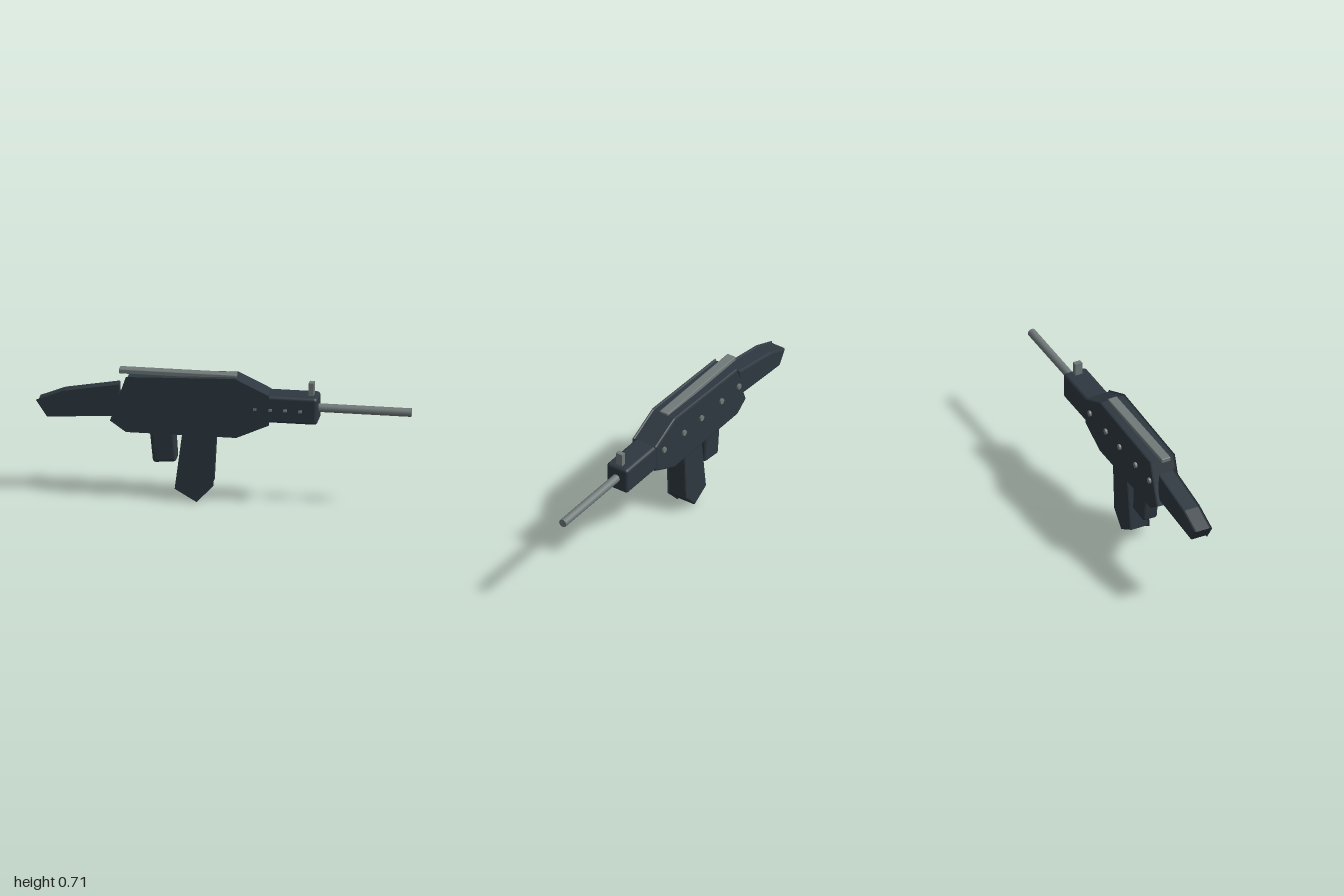
import * as THREE from 'three';
import { RoundedBoxGeometry } from 'three/addons/geometries/RoundedBoxGeometry.js';

const dark = new THREE.MeshStandardMaterial({ color: 0x2e3840 });
dark.name = 'dark slate';
const grey = new THREE.MeshStandardMaterial({ color: 0x707a79 });
grey.name = 'steel grey';

// Shrinks a clockwise convex outline by a distance, with mitred corners
function inset(points, d) {
  const n = points.length;
  return points.map((p, i) => {
    const a = points[(i + n - 1) % n], b = points[(i + 1) % n];
    const l1 = Math.hypot(p[0] - a[0], p[1] - a[1]);
    const l2 = Math.hypot(b[0] - p[0], b[1] - p[1]);
    const n1 = [(p[1] - a[1]) / l1, -(p[0] - a[0]) / l1];
    const n2 = [(b[1] - p[1]) / l2, -(b[0] - p[0]) / l2];
    const k = d / (1 + n1[0] * n2[0] + n1[1] * n2[1]);
    return [p[0] + (n1[0] + n2[0]) * k, p[1] + (n1[1] + n2[1]) * k];
  });
}

// Slab from a clockwise outline: flared lip at the front, rounded edge at the back
function slab(points, zBack, zFront) {
  const layers = [
    [zFront, 0], [zFront - 0.003, 0.005], [zFront - 0.009, 0.008],
    [zBack + 0.01, 0.008], [zBack + 0.003, 0.011], [zBack, 0.018],
  ];
  const rings = layers.map(([z, d]) => inset(points, d).map(([x, y]) => [x, y, z]));
  const pos = [];
  const n = points.length;
  const tri = (a, b, c) => pos.push(...a, ...b, ...c);
  for (let r = 0; r < rings.length - 1; r++) {
    for (let i = 0; i < n; i++) {
      const j = (i + 1) % n;
      tri(rings[r][i], rings[r][j], rings[r + 1][j]);
      tri(rings[r][i], rings[r + 1][j], rings[r + 1][i]);
    }
  }
  const front = rings[0], back = rings[rings.length - 1];
  for (let i = 1; i < n - 1; i++) {
    tri(front[0], front[i + 1], front[i]);
    tri(back[0], back[i], back[i + 1]);
  }
  const g = new THREE.BufferGeometry();
  g.setAttribute('position', new THREE.Float32BufferAttribute(pos, 3));
  g.computeVertexNormals();
  return g;
}

export function createModel() {
  const model = new THREE.Group();
  const add = (name, geometry, material, x = 0, y = 0, z = 0) => {
    const mesh = new THREE.Mesh(geometry, material);
    mesh.name = name;
    mesh.position.set(x, y, z);
    model.add(mesh);
    return mesh;
  };

  // Main slabs
  add('body', slab([
    [-0.515, 0.69], [0.068, 0.712], [0.25, 0.625], [0.25, 0.46],
    [0.075, 0.38], [-0.515, 0.38], [-0.6, 0.44], [-0.557, 0.56],
  ], -0.07, 0.077), dark);
  add('stock', slab([
    [-1, 0.525], [-0.855, 0.583], [-0.555, 0.636], [-0.545, 0.46], [-0.94, 0.433],
  ], -0.046, 0.05), dark);
  add('magazine', slab([
    [-0.212, 0.42], [-0.033, 0.42], [-0.05, 0.095], [-0.14, 0], [-0.257, 0.068],
  ], -0.053, 0.06), dark);

  // Grip: rounded block that narrows and leans towards its foot
  const gripShape = new RoundedBoxGeometry(0.135, 0.22, 0.09, 3, 0.018);
  const p = gripShape.attributes.position;
  for (let i = 0; i < p.count; i++) {
    const t = 0.5 - p.getY(i) / 0.22;
    p.setX(i, p.getX(i) * (1 - 0.06 * t) + 0.018 * t);
    p.setY(i, p.getY(i) + 0.09 * p.getX(i) * t);
  }
  gripShape.computeVertexNormals();
  add('grip', gripShape, dark, -0.331, 0.317, 0.003);

  // Fore end and barrel
  add('handguard', new RoundedBoxGeometry(0.285, 0.15, 0.135, 3, 0.018), dark, 0.363, 0.545, 0.002);
  const barrel = add('barrel', new THREE.CylinderGeometry(0.023, 0.023, 0.54, 16), grey, 0.73, 0.549, 0.004);
  barrel.rotation.z = -Math.PI / 2;

  // Sights
  add('topRail', new RoundedBoxGeometry(0.628, 0.025, 0.053, 1, 0.004), grey, -0.246, 0.7025, 0.004);
  add('frontSight', new THREE.BoxGeometry(0.027, 0.085, 0.041), grey, 0.467, 0.6475, 0.004);

  // Small pins along the front side
  for (let i = 0; i < 4; i++) {
    add('frontPin', new THREE.BoxGeometry(0.018, 0.012, 0.022), grey, 0.175 + i * 0.08, 0.546, 0.071);
  }

  // Round bolts along the back side
  for (const x of [-0.515, -0.355, -0.17, -0.01, 0.175]) {
    const bolt = add('backBolt', new THREE.CylinderGeometry(0.016, 0.016, 0.02, 10), grey, x, 0.569, -0.071);
    bolt.rotation.x = Math.PI / 2;
  }
  return model;
}
